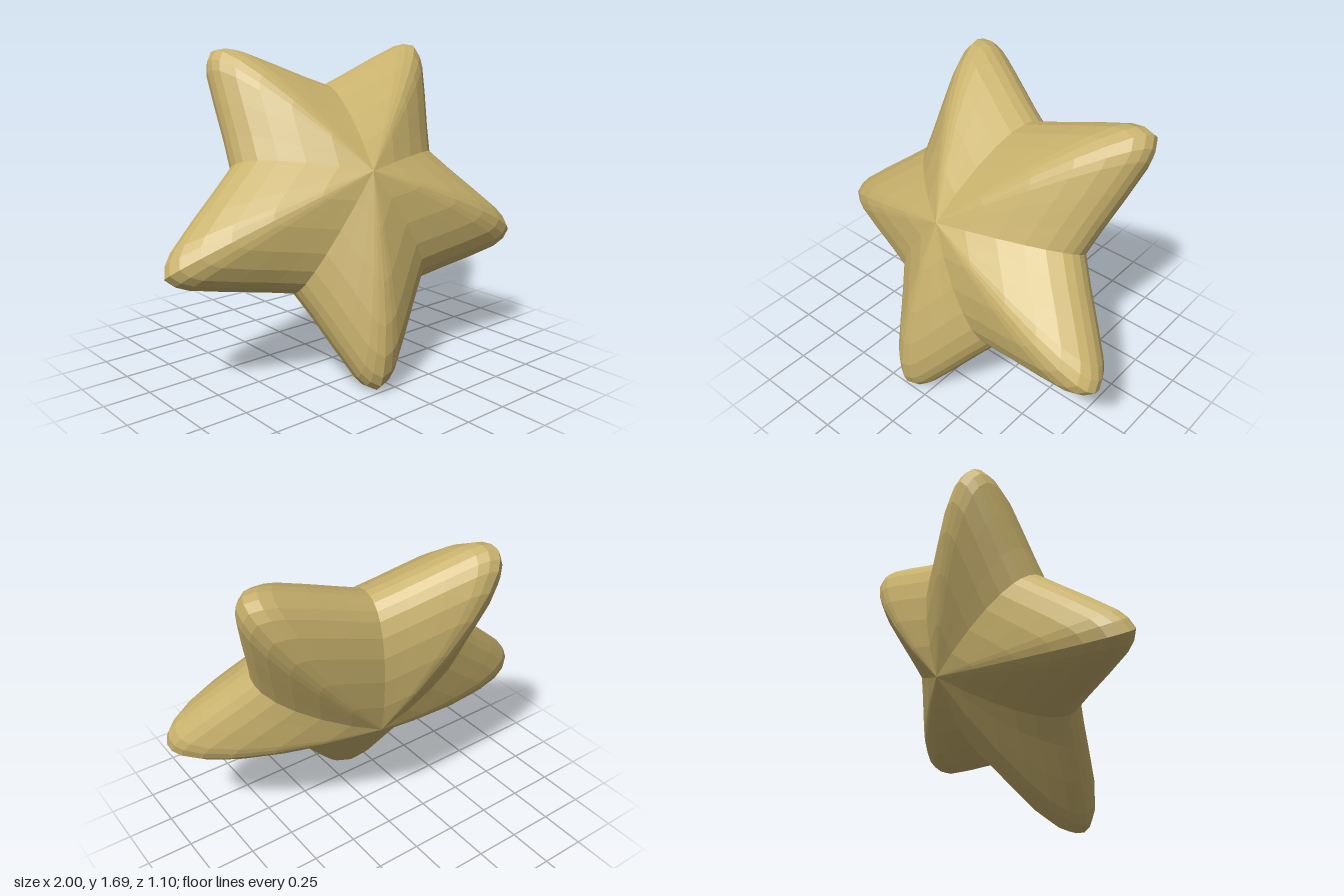
import * as THREE from 'three';

const CENTRE = new THREE.Vector3(0.05, 0.92, 0.01);
const HALF_THICKNESS = 0.38;

// Tilted plane of the star: two in-plane axes and its facing direction
const facing = new THREE.Vector3(-0.2, 0.55, 1).normalize();
const across = new THREE.Vector3(1, 0, 0.2).normalize();
const upward = new THREE.Vector3().crossVectors(facing, across);

// Arm tips, counter-clockwise
const TIPS = [
  [-0.11, 0, 0.48], [1.0, 0.63, 0.38], [0.8, 1.66, -0.25],
  [-0.42, 1.66, -0.5], [-1.0, 0.65, -0.03],
];

// Half an arm's outline from tip to valley: [share of half angle, radius]
const HALF_ARM = [[0, 1.06], [0.086, 1.031], [0.16, 0.985], [0.36, 0.842], [0.67, 0.7], [1, 0.62]];

// Scale of each loop from the centre to the rim
const LOOPS = [0.27, 0.52, 0.72, 0.86, 0.95, 0.987];

// Closed outline of the star in plane coordinates
function starOutline() {
  const tips = TIPS.map(([x, y, z]) => {
    const d = new THREE.Vector3(x, y, z).sub(CENTRE);
    const a = d.dot(across), b = d.dot(upward);
    return { angle: Math.atan2(b, a), length: Math.hypot(a, b) };
  });
  const outline = [];
  const add = (angle, r) => outline.push([Math.cos(angle) * r, Math.sin(angle) * r]);
  tips.forEach((tip, i) => {
    const next = tips[(i + 1) % tips.length];
    let span = next.angle - tip.angle;
    if (span < 0) span += Math.PI * 2;
    const radius = (k, r, t) => r * THREE.MathUtils.lerp(t.length / HALF_ARM[0][1], 1, k);
    for (const [k, r] of HALF_ARM) add(tip.angle + k * span / 2, radius(k, r, tip));
    for (const [k, r] of HALF_ARM.slice(1, -1).reverse()) {
      add(next.angle - k * span / 2, radius(k, r, next));
    }
  });
  return outline;
}

// Puffy body: shrinking copies of the outline, domed on both faces
function starGeometry() {
  const outline = starOutline();
  const n = outline.length;
  const positions = [], index = [];
  const push = (a, b, h) => {
    const p = CENTRE.clone().addScaledVector(across, a)
      .addScaledVector(upward, b).addScaledVector(facing, h);
    positions.push(p.x, p.y, p.z);
  };
  const dome = (s) => HALF_THICKNESS * Math.sqrt(1 - Math.pow(s, 1.15));

  const rings = [
    ...LOOPS.map((s) => [s, dome(s)]),
    [1, 0],
    ...LOOPS.slice().reverse().map((s) => [s, -dome(s)]),
  ];
  push(0, 0, HALF_THICKNESS);
  for (const [s, h] of rings) for (const [a, b] of outline) push(a * s, b * s, h);
  push(0, 0, -HALF_THICKNESS);

  const last = 1 + rings.length * n;
  const at = (ring, k) => 1 + ring * n + (k % n);
  for (let k = 0; k < n; k++) {
    index.push(0, at(0, k), at(0, k + 1));
    for (let r = 0; r < rings.length - 1; r++) {
      const a = at(r, k), b = at(r, k + 1), c = at(r + 1, k), d = at(r + 1, k + 1);
      index.push(a, c, d, a, d, b);
    }
    index.push(last, at(rings.length - 1, k + 1), at(rings.length - 1, k));
  }
  const geometry = new THREE.BufferGeometry();
  geometry.setAttribute('position', new THREE.Float32BufferAttribute(positions, 3));
  geometry.setIndex(index);
  geometry.computeVertexNormals();
  return geometry;
}

export function createModel() {
  const group = new THREE.Group();
  group.name = 'puffyStar';
  const body = new THREE.Mesh(
    starGeometry(),
    new THREE.MeshStandardMaterial({ color: 0xc9b26d, flatShading: true }),
  );
  body.name = 'starBody';
  group.add(body);
  return group;
}
